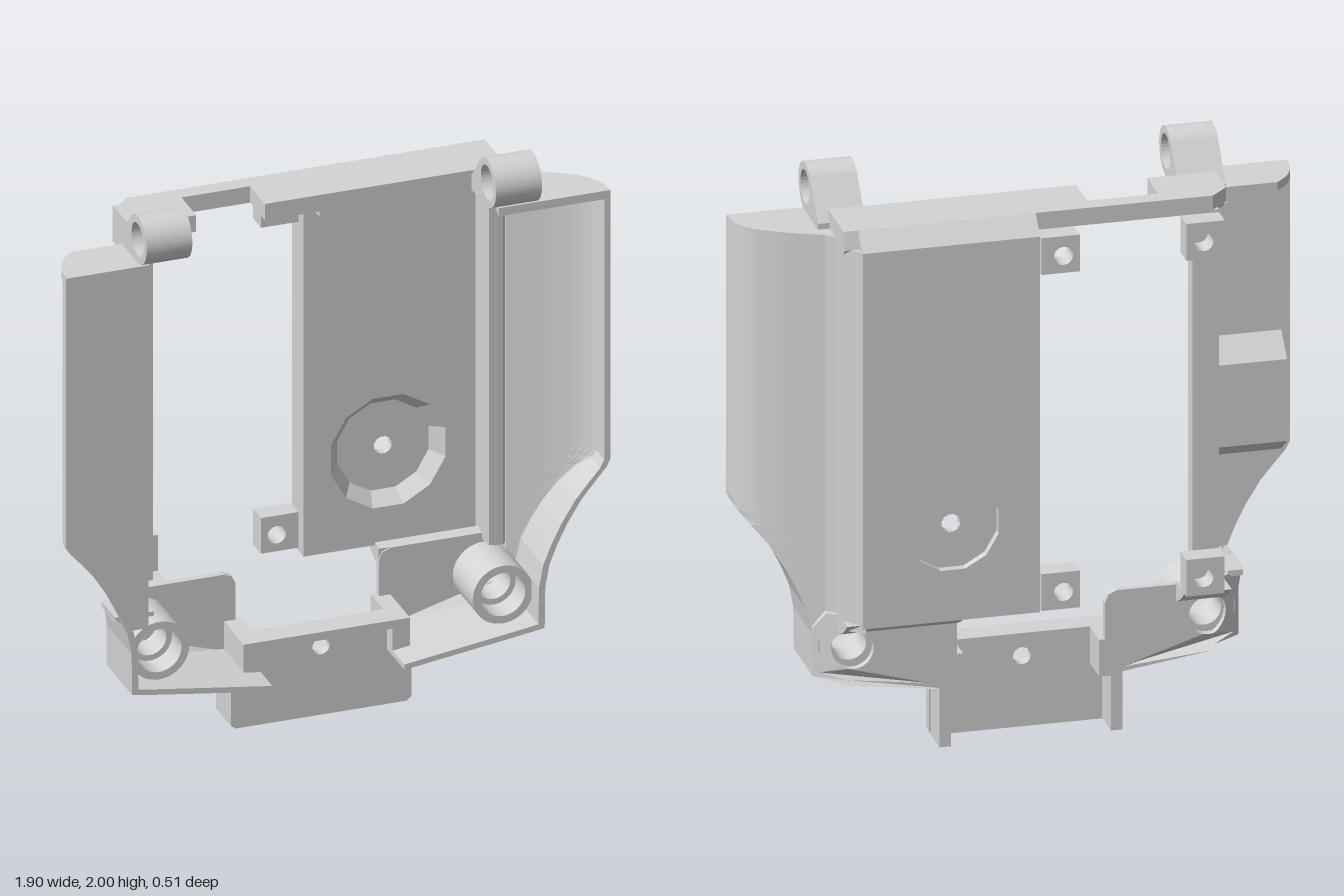
import * as THREE from 'three';

export function createModel() {
  const model = new THREE.Group();
  const grey = new THREE.MeshStandardMaterial({ color: 0xd4d4d4, side: THREE.DoubleSide });
  grey.name = 'grey plastic';

  const add = (name, geo) => {
    const m = new THREE.Mesh(geo, grey);
    m.name = name;
    model.add(m);
    return m;
  };
  const box = (name, x0, x1, y0, y1, z0, z1) =>
    add(name, new THREE.BoxGeometry(x1 - x0, y1 - y0, z1 - z0)
      .translate((x0 + x1) / 2, (y0 + y1) / 2, (z0 + z1) / 2));
  const shapeOf = (pts) => new THREE.Shape(pts.map(([a, b]) => new THREE.Vector2(a, b)));
  const punch = (shape, x, y, r) => {
    shape.holes.push(new THREE.Path().absarc(x, y, r, 0, Math.PI * 2, true));
    return shape;
  };
  const solid = (shape, depth, seg = 12) =>
    new THREE.ExtrudeGeometry(shape, { depth, bevelEnabled: false, curveSegments: seg });
  // shape in (x, y), from z0 to z1
  const alongZ = (shape, z0, z1, seg) => solid(shape, z1 - z0, seg).translate(0, 0, z0);
  // shape in (z, y), from x0 to x1
  const alongX = (shape, x0, x1, seg) => solid(shape, x1 - x0, seg).rotateY(-Math.PI / 2).translate(x1, 0, 0);
  // shape in (x, z), from y0 to y1
  const alongY = (shape, y0, y1) => solid(shape, y1 - y0).rotateX(Math.PI / 2).translate(0, y1, 0);

  // Outline half-width at each height, narrowing toward the bottom
  const outline = [[0.28, 0.72], [0.42, 0.722], [0.5, 0.737], [0.57, 0.765], [0.64, 0.8],
    [0.72, 0.85], [0.78, 0.9], [0.82, 0.935], [0.85, 0.95], [1.82, 0.95]];

  const smooth = (pts, n) => new THREE.SplineCurve(pts.map(([a, b]) => new THREE.Vector2(a, b)))
    .getPoints(n).map((p) => [p.x, p.y]);
  const deep = [...smooth([[0.95, 0.2], [0.938, 0.13], [0.895, 0.065], [0.82, 0.015], [0.75, -0.02]], 24), [0.67, -0.055]];
  const shallow = [...smooth([[0.95, 0.2], [0.94, 0.13], [0.915, 0.07], [0.87, 0.02]], 12), [0.66, 0.02]];

  // Depth of the curved wall at a given half-width
  const depthAt = (x) => {
    const i = Math.max(1, deep.findIndex((p) => p[0] <= x + 1e-6));
    const [xa, za] = deep[i - 1], [xb, zb] = deep[i];
    return za + (zb - za) * (xa - x) / (xa - xb);
  };

  // Curved side wall with thickness, following the outline and closed to the front rim
  function shell(name, side, y0, y1) {
    const rows = outline.filter(([y]) => y >= y0 && y <= y1);
    const n = 16, t = 0.022, rings = rows.map(([y, limit]) => {
      const pts = Array.from({ length: n + 1 }, (_, i) => {
        const x = 0.67 + (limit - 0.67) * Math.sin(i / n * Math.PI / 2);
        return [x, depthAt(x)];
      });
      pts.push([limit, 0.2]);
      const inner = pts.map(([x, z]) => [Math.min(x, limit - t), Math.min(0.2, z + t)]).reverse();
      return [...pts, ...inner].map(([x, z]) => [side * x, y, z]);
    });
    const pos = [];
    for (let j = 0; j < rings.length - 1; j++) {
      for (let i = 0; i < rings[j].length; i++) {
        const k = (i + 1) % rings[j].length;
        let [p, q] = [i, k];
        if (side > 0) [p, q] = [k, i];
        const a = rings[j][p], b = rings[j][q], c = rings[j + 1][q], d = rings[j + 1][p];
        pos.push(...a, ...b, ...c, ...a, ...c, ...d);
      }
    }
    const g = new THREE.BufferGeometry();
    g.setAttribute('position', new THREE.Float32BufferAttribute(pos, 3));
    g.computeVertexNormals();
    add(name, g);
  }
  shell('left side shell', 1, 0.28, 1.82);
  shell('right lower shell', -1, 0.28, 0.5);
  add('left shell cap', alongY(shapeOf([...deep, [0.6, -0.06], [0.56, 0.2]]), 1.8, 1.83));
  add('right shell cap', alongY(shapeOf([...shallow.map(([x, z]) => [-x, z]), [-0.66, 0.2]]), 1.8, 1.83));

  // Flat right wing with a raised rim and a bulge on its back
  const edge = outline.slice(2).map(([y, x]) => [-x, y]);
  add('right wing plate', alongZ(shapeOf([...edge, [-0.66, 1.82], [-0.66, 0.5]]), 0.165, 0.19));
  add('right wing rim', alongZ(shapeOf([...edge, ...edge.map(([x, y]) => [x + 0.02, y]).reverse()]), 0.165, 0.2));
  add('right wing bulge', alongX(shapeOf([[0.17, 0.82], [0.09, 0.88], [0.09, 1.17], [0.17, 1.25]]), -0.92, -0.66));
  box('right wing ledge', -0.735, -0.6, 0.48, 0.5, -0.05, 0.08);

  // Thick back panel with a dished recess on both faces
  const cx = 0.295, cy = 0.835;
  const rect = shapeOf([[0, 0.5], [0.6, 0.5], [0.6, 1.82], [0, 1.82]]);
  rect.holes.push(new THREE.Path().setFromPoints(Array.from({ length: 12 }, (_, i) => {
    const a = -(i + 0.5) / 12 * Math.PI * 2;
    return new THREE.Vector2(cx + 0.207 * Math.cos(a), cy + 0.207 * Math.sin(a));
  })));
  add('back panel', alongZ(rect, -0.24, -0.13));
  const dish = [[0.207, -0.24], [0.16, -0.24], [0.16, -0.212], [0.032, -0.212],
    [0.032, -0.18], [0.165, -0.18], [0.207, -0.13], [0.207, -0.24]];
  const dishGeo = new THREE.LatheGeometry(dish.map(([r, z]) => new THREE.Vector2(r, z)), 12)
    .rotateY(Math.PI / 12).rotateX(Math.PI / 2).toNonIndexed();
  dishGeo.computeVertexNormals();
  add('panel dish', dishGeo).position.set(cx, cy, 0);
  add('panel side wall', alongY(shapeOf([[0.68, -0.05], [0.65, -0.075], [0.65, -0.18], [0.59, -0.24],
    [0.58, -0.18], [0.61, -0.13], [0.61, -0.03], [0.66, -0.03]]), 0.48, 1.83));

  // Top bar
  add('top bar left', alongX(shapeOf([[0.02, 1.81], [0.02, 1.89], [-0.18, 1.89], [-0.24, 1.83], [-0.24, 1.81]]), 0, 0.6));
  add('top bar end', alongX(shapeOf([[0.02, 1.81], [0.02, 1.89], [-0.18, 1.89], [-0.2, 1.83], [-0.18, 1.81]]), 0.6, 0.65));
  box('top bar middle', -0.19, 0, 1.83, 1.89, -0.18, 0.02);
  box('top bar bridge', -0.44, -0.18, 1.83, 1.89, -0.18, -0.12);
  add('top bar corner', alongY(shapeOf([[-0.43, 0.02], [-0.43, -0.18], [-0.6, -0.18], [-0.66, -0.12], [-0.66, 0.02]]), 1.83, 1.89));
  box('corner post', -0.66, -0.6, 1.76, 1.84, -0.13, 0.03);

  // Rail and the four screw pads
  box('rail', -0.62, -0.53, 0.51, 1.84, -0.18, -0.12);
  for (const [x, hx] of [[-0.62, -0.55], [-0.13, -0.075]]) {
    for (const [y, hy] of [[0.51, 0.57], [1.7, 1.76]]) {
      const pad = shapeOf([[x, y], [x + 0.13, y], [x + 0.13, y + 0.13], [x, y + 0.13]]);
      add('screw pad', alongZ(punch(pad, hx, hy, 0.032), -0.255, -0.18));
    }
  }

  // Pull the back corners forward toward the outer sides
  const taper = (g) => {
    const p = g.attributes.position;
    for (let i = 0; i < p.count; i++) {
      if (p.getZ(i) < 0) p.setZ(i, p.getZ(i) + Math.max(0, Math.abs(p.getX(i)) - 0.62) * 0.75);
    }
    g.computeVertexNormals();
    return g;
  };

  for (const s of [1, -1]) {
    const flip = (pts) => shapeOf(pts.map(([x, y]) => [x * s, y]));
    const span = (a, b) => (s > 0 ? [a, b] : [-b, -a]);

    // Lower corner: back wall, floor, sloping step and screw tube
    const wall = flip([[0.25, 0.21], [0.62, 0.265], [0.72, 0.28], [0.72, 0.44], [0.68, 0.5], [0.62, 0.5],
      [0.29, 0.5], [0.262, 0.488], [0.25, 0.46]]);
    add('lower back wall', taper(alongZ(punch(wall, s * 0.6, 0.38, 0.068), -0.12, -0.095)));
    add('floor', taper(alongZ(flip([[0.23, 0.2], [0.62, 0.255], [0.72, 0.27], [0.72, 0.29], [0.62, 0.275], [0.23, 0.22]]), -0.12, 0.2)));
    add('sloping step', alongX(shapeOf([[-0.1, 0.44], [-0.12, 0.44], [-0.18, 0.47], [-0.23, 0.51], [-0.13, 0.51], [-0.1, 0.5]]),
      ...span(s > 0 ? 0.25 : 0.49, 0.65)));
    const tube = new THREE.Shape().absarc(s * 0.6, 0.38, 0.105, 0, Math.PI * 2);
    add('screw tube', alongZ(punch(tube, s * 0.6, 0.38, 0.078), -0.06, 0.13, 24));
    const seat = new THREE.Shape().absarc(s * 0.6, 0.38, 0.09, 0, Math.PI * 2);
    add('screw seat', alongZ(punch(seat, s * 0.6, 0.38, 0.058), -0.06, 0.04, 24));

    // Hinge lug with a wider socket on both ends
    const lug = (r) => {
      const o = new THREE.Shape();
      o.moveTo(0, 1.82);
      o.lineTo(0.17, 1.825);
      o.absarc(0.17, 1.915, 0.085, -Math.PI / 2, Math.PI * 0.75, false);
      o.lineTo(0, 1.85);
      return punch(o, 0.17, 1.915, r);
    };
    add('hinge lug inner', alongX(lug(0.06), ...span(0.53, 0.57), 16));
    add('hinge lug middle', alongX(lug(0.033), ...span(0.57, 0.63), 16));
    add('hinge lug outer', alongX(lug(0.058), ...span(0.63, 0.69), 16));

    // Centre tab sides
    box('tab flange', ...span(0.27, 0.31), 0.005, 0.22, -0.12, 0.03);
    box('ledge leg', ...span(0.23, 0.29), 0.2, 0.33, -0.12, 0.09);
  }

  // Centre tab
  const tab = shapeOf([[-0.3, 0], [0.3, 0], [0.315, 0.015], [0.315, 0.2], [0.25, 0.2], [0.25, 0.32],
    [-0.25, 0.32], [-0.25, 0.2], [-0.315, 0.2], [-0.315, 0.015]]);
  add('centre tab', alongZ(punch(tab, 0, 0.25, 0.03), 0, 0.035));
  box('centre ledge', -0.29, 0.29, 0.3, 0.33, 0, 0.09);

  return model;
}
